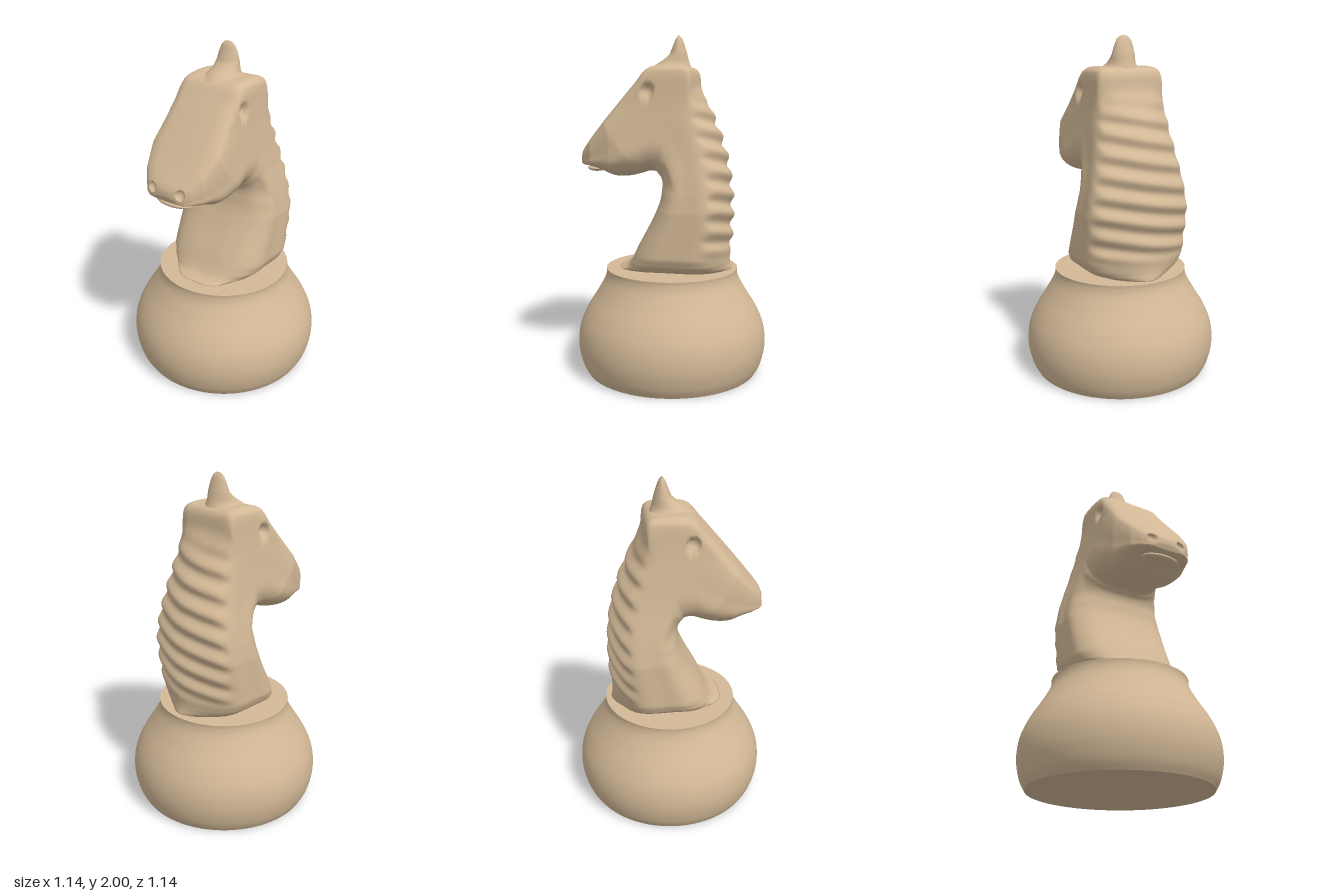
import * as THREE from 'three';
import { toCreasedNormals } from 'three/addons/utils/BufferGeometryUtils.js';

const { smoothstep, lerp } = THREE.MathUtils;

// Linear lookup in a list of [key, value] pairs
function lookup(k, pairs) {
  if (k <= pairs[0][0]) return pairs[0][1];
  for (let i = 1; i < pairs.length; i++) {
    const [a, va] = pairs[i - 1], [b, vb] = pairs[i];
    if (k <= b) return lerp(va, vb, (k - a) / (b - a));
  }
  return pairs[pairs.length - 1][1];
}

const curve3 = (pts) => new THREE.CatmullRomCurve3(
  pts.map((p) => new THREE.Vector3(p[0], p[1], p[2] || 0)), false, 'centripetal');

// Sections: [inner x, inner y, outer x, outer y, squareness of outer edge]
const sections = [
  [-0.31, 0.63, 0.365, 0.63, 0], [-0.25, 0.66, 0.355, 0.68, 0],
  [-0.17, 0.8, 0.36, 0.82, 0], [-0.09, 0.95, 0.365, 0.97, 0],
  [-0.05, 1.05, 0.36, 1.1, 0], [-0.04, 1.11, 0.34, 1.25, 0],
  [-0.038, 1.145, 0.3, 1.4, 0.05], [-0.045, 1.175, 0.235, 1.56, 0.2],
  [-0.06, 1.195, 0.165, 1.69, 0.6], [-0.075, 1.21, 0.11, 1.815, 1],
  [-0.09, 1.215, 0, 1.825, 1], [-0.12, 1.215, -0.105, 1.815, 0.9],
  [-0.17, 1.2, -0.19, 1.735, 0.7], [-0.25, 1.183, -0.28, 1.63, 0.65],
  [-0.32, 1.185, -0.36, 1.535, 0.6], [-0.38, 1.21, -0.43, 1.45, 0.6],
  [-0.43, 1.23, -0.49, 1.38, 0.5], [-0.47, 1.24, -0.522, 1.34, 0.4],
  [-0.505, 1.245, -0.535, 1.305, 0.3], [-0.525, 1.255, -0.535, 1.285, 0.3],
];
// Half cross-sections (along, across): rounded back and square back
const roundHalf = [[-1, 0], [-0.98, 0.4], [-0.85, 0.75], [-0.55, 0.97], [-0.1, 1],
  [0.4, 1], [0.62, 0.88], [0.86, 0.5], [0.97, 0.2], [1, 0]];
const squareHalf = [[-1, 0], [-0.98, 0.4], [-0.85, 0.75], [-0.55, 0.97], [-0.1, 1],
  [0.55, 1], [0.9, 0.98], [0.985, 0.9], [1, 0.5], [1, 0]];
const widthByHeight = [[0.63, 0.2], [0.65, 0.255], [0.68, 0.295], [0.73, 0.318], [1, 0.32],
  [1.1, 0.305], [1.2, 0.285], [1.3, 0.262], [1.4, 0.245], [1.6, 0.218], [1.8, 0.205], [1.83, 0.19]];
const widthAlongHead = [[-0.536, 0.05], [-0.52, 0.12], [-0.5, 0.15], [-0.45, 0.195],
  [-0.33, 0.24], [-0.2, 0.264], [0, 0.268], [0.12, 0.32]];

// Depth of a round socket at offset (a, b) from its centre
function socket(a, b, r) {
  const d = r * r - a * a - b * b;
  return d > 0 ? Math.sqrt(d) : 0;
}

// Neck and head: one loft that bends around the throat
function neckAndHeadGeometry() {
  const rows = (sections.length - 1) * 12, half = 60, cols = half * 2;
  const inner = curve3(sections.map((s) => [s[0], s[1]]));
  const outer = curve3(sections.map((s) => [s[2], s[3], s[4]]));
  const roundCurve = curve3(roundHalf), squareCurve = curve3(squareHalf);
  const profile = [];
  for (let j = 0; j <= half; j++) {
    profile.push([roundCurve.getPoint(j / half), squareCurve.getPoint(j / half)]);
  }
  const pos = [], index = [];
  for (let i = 0; i <= rows; i++) {
    const a = inner.getPoint(i / rows), b = outer.getPoint(i / rows);
    const sq = THREE.MathUtils.clamp(b.z, 0, 1);
    for (let j = 0; j < cols; j++) {
      const [r, s] = profile[j <= half ? j : cols - j];
      const side = j <= half ? 1 : -1;
      const u = lerp(r.x, s.x, sq), v = lerp(r.y, s.y, sq);
      let x = lerp(a.x, b.x, (u + 1) / 2);
      const y = lerp(a.y, b.y, (u + 1) / 2);
      const tall = lookup(y, widthByHeight);
      const slim = Math.min(tall, lookup(x, widthAlongHead));
      let z = side * v * lerp(tall, slim, smoothstep(y, 1.08, 1.2));
      // Slanting mane ridges
      const mane = smoothstep(u, 0.3, 0.65) * smoothstep(x, 0.08, 0.2)
        * smoothstep(y, 0.7, 0.82) * (1 - smoothstep(y, 1.5, 1.68));
      x += 0.013 * mane * Math.sin((y - 0.2 * z - 0.93) * Math.PI * 2 / 0.118);
      // Eye sockets and nostrils
      if (Math.abs(z) > 0.1) z -= side * 0.8 * socket(x + 0.108, y - 1.68, 0.042);
      if (x < -0.4) x += 0.9 * socket(Math.abs(z) - 0.095, y - 1.312, 0.028);
      pos.push(x, y, z);
    }
  }
  for (let i = 0; i < rows; i++) {
    for (let j = 0; j < cols; j++) {
      const p = i * cols + j, q = i * cols + (j + 1) % cols;
      index.push(p, q, p + cols, q, q + cols, p + cols);
    }
  }
  // Close the underside and the tip of the muzzle
  for (const [row, flip] of [[0, true], [rows, false]]) {
    const s = sections[row ? sections.length - 1 : 0];
    const c = pos.length / 3;
    pos.push((s[0] + s[2]) / 2, (s[1] + s[3]) / 2, 0);
    for (let j = 0; j < cols; j++) {
      const p = row * cols + j, q = row * cols + (j + 1) % cols;
      index.push(c, flip ? q : p, flip ? p : q);
    }
  }
  const g = new THREE.BufferGeometry();
  g.setAttribute('position', new THREE.Float32BufferAttribute(pos, 3));
  g.setIndex(index);
  g.computeVertexNormals();
  return g;
}

// Crest: a lathe whose rings are shifted and squeezed along x
function crestGeometry() {
  const pts = [[0.13, 1.805], [0.098, 1.825], [0.08, 1.85], [0.068, 1.9], [0.055, 1.95],
    [0.04, 1.982], [0.02, 1.997], [0, 2]].map((p) => new THREE.Vector2(...p));
  const g = new THREE.LatheGeometry(new THREE.SplineCurve(pts).getPoints(32), 40);
  const back = [[1.805, 0.115], [1.85, 0.1], [1.9, 0.088], [1.95, 0.072], [1.98, 0.06], [2, 0.042]];
  const front = [[1.805, -0.13], [1.83, -0.1], [1.86, -0.05], [1.89, -0.013], [1.94, 0.008], [1.98, 0.024], [2, 0.042]];
  const p = g.attributes.position;
  for (let i = 0; i < p.count; i++) {
    const y = p.getY(i), r = Math.hypot(p.getX(i), p.getZ(i));
    const c = r > 1e-5 ? p.getX(i) / r : 0;
    p.setX(i, lerp(lookup(y, front), lookup(y, back), (c + 1) / 2));
  }
  g.computeVertexNormals();
  return g;
}

// Pedestal: rounded bulb with flat top and bottom
function pedestalGeometry() {
  const side = new THREE.SplineCurve([[0.52, 0], [0.55, 0.06], [0.57, 0.16], [0.56, 0.27], [0.517, 0.375],
    [0.455, 0.475], [0.41, 0.555], [0.396, 0.6], [0.396, 0.627]].map((p) => new THREE.Vector2(...p))).getPoints(40);
  const outline = [new THREE.Vector2(0, 0), ...side, new THREE.Vector2(0, 0.627)];
  return toCreasedNormals(new THREE.LatheGeometry(outline, 96), 0.6);
}

export function createModel() {
  const group = new THREE.Group();
  const material = new THREE.MeshStandardMaterial({ color: 0xd2b896 });
  const add = (name, geometry) => {
    const mesh = new THREE.Mesh(geometry, material);
    mesh.name = name;
    group.add(mesh);
    return mesh;
  };
  add('pedestal', pedestalGeometry());
  add('neckAndHead', neckAndHeadGeometry());
  add('crest', crestGeometry());
  const lip = add('lowerLip', new THREE.SphereGeometry(1, 32, 20));
  lip.scale.set(0.062, 0.022, 0.12);
  lip.position.set(-0.448, 1.226, 0);
  return group;
}
